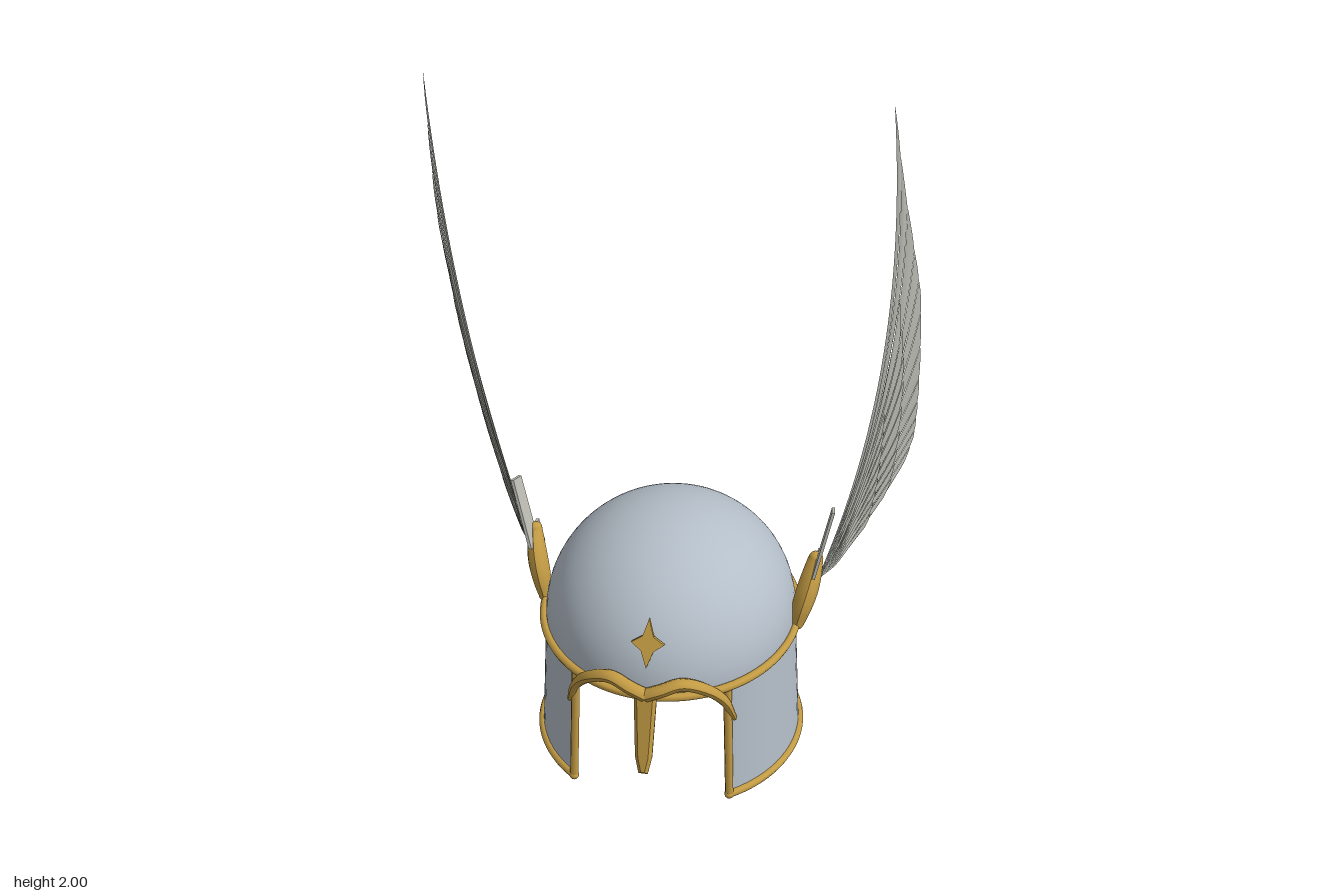
import * as THREE from 'three';
import { mergeGeometries } from 'three/addons/utils/BufferGeometryUtils.js';
import { ParametricGeometry } from 'three/addons/geometries/ParametricGeometry.js';

const mat = (name, color, side = THREE.FrontSide) => {
  const m = new THREE.MeshStandardMaterial({ color, side });
  m.name = name;
  return m;
};
const steel = mat('steel', 0xb4bec8, THREE.DoubleSide);
const gold = mat('gold', 0xc49c44);
const silver = mat('feather silver', 0xc2c2ba, THREE.DoubleSide);

const V = (x, y, z) => new THREE.Vector3(x, y, z);
const lerp = THREE.MathUtils.lerp;

function add(parent, name, geometry, material) {
  const mesh = new THREE.Mesh(geometry, material);
  mesh.name = name;
  parent.add(mesh);
  return mesh;
}

// Point on the skirt wall: a = angle from the front, v = 0 at the brow, 1 at the hem
const OPEN = 0.63;
function wall(a, v, out = 0) {
  const z = (lerp(0.36, 0.378, v) + out) * Math.cos(a) - lerp(0.015, 0.02, v);
  const hem = 0.06 + (z - 0.29) * 0.065;
  return V((lerp(0.33, 0.35, v) + out) * Math.sin(a), lerp(0.42, hem, v), z);
}

// Round bar through points, with a radius rule along its length
function bar(points, radius, segments = 32, closed = false, taper = null) {
  const curve = new THREE.CatmullRomCurve3(points, closed);
  const g = new THREE.TubeGeometry(curve, segments, radius, 8, closed);
  if (taper) {
    const p = g.attributes.position;
    for (let i = 0; i < p.count; i++) {
      const t = Math.floor(i / 9) / segments;
      const c = curve.getPointAt(t);
      const v = V(0, 0, 0).fromBufferAttribute(p, i).sub(c).multiplyScalar(taper(t)).add(c);
      p.setXYZ(i, v.x, v.y, v.z);
    }
    g.computeVertexNormals();
  }
  return g;
}

// Wing sheet: s runs from the leading edge (0) to the lowest feather (1), t from root to tip
const tips = new THREE.CatmullRomCurve3([
  V(0.513, 2.0, 0.19), V(0.54, 1.77, 0.095), V(0.57, 1.54, -0.02), V(0.588, 1.37, -0.117),
  V(0.595, 1.17, -0.207), V(0.596, 0.98, -0.3), V(0.594, 0.87, -0.348), V(0.59, 0.8, -0.358), V(0.572, 0.73, -0.335),
]);
function wingPoint(s, t) {
  const root = V(0.375, 0.51, lerp(-0.055, -0.075, s));
  const bend = V(lerp(0.576, 0.48, s), lerp(1.15, 0.56, s), lerp(-0.115, -0.22, s));
  return new THREE.QuadraticBezierCurve3(root, bend, tips.getPoint(s)).getPoint(t);
}

// One row of feathers, each a ridged strip of the sheet
function featherRow(count, s0, s1, reach, lift) {
  const list = [];
  for (let i = 0; i < count; i++) {
    const a = lerp(s0, s1, i / count), b = lerp(s0, s1, (i + 1) / count);
    list.push(new ParametricGeometry((u, v, target) => {
      const end = reach * (1 - 0.04 * u * u * (reach < 1 ? 1 : 0));
      const p = wingPoint(lerp(a, b, u), v * end);
      p.x += lift * Math.min(1, v * 4) + (0.008 * Math.sin(Math.PI * u) - 0.004 * u) * Math.min(1, v * 3) * (1.15 - v);
      target.copy(p);
    }, 4, 28));
  }
  return mergeGeometries(list);
}

// Thin flat plate facing +z
function plate(points, depth) {
  const shape = new THREE.Shape(points.map(([x, y]) => new THREE.Vector2(x, y)));
  return new THREE.ExtrudeGeometry(shape, { depth, bevelEnabled: false });
}

function makeWing() {
  const wing = new THREE.Group();
  add(wing, 'flightFeathers', featherRow(12, 0, 1, 1, 0), silver);
  add(wing, 'middleCoverts', featherRow(9, 0.12, 0.96, 0.74, 0.007), silver);
  add(wing, 'shortCoverts', featherRow(8, 0.2, 0.96, 0.5, 0.012), silver);

  // Root plates, leaning outward with the wing
  const front = plate([[0.0, 0.57], [0.065, 0.545], [0.07, 0.755], [0.01, 0.78]], 0.008);
  const back = plate([[0.05, 0.5], [0.11, 0.52], [0.11, 0.59], [0.06, 0.6]], 0.008);
  const roots = mergeGeometries([front, back]);
  roots.rotateY(Math.PI / 2);
  const p = roots.attributes.position;
  for (let i = 0; i < p.count; i++) p.setX(i, p.getX(i) + 0.365 + (p.getY(i) - 0.54) * 0.2);
  roots.computeVertexNormals();
  add(wing, 'rootPlates', roots, silver);

  // Gold bracket joining wing and brow band
  const path = [V(0.338, 0.425, 0.0), V(0.35, 0.48, -0.008), V(0.364, 0.54, -0.03), V(0.374, 0.595, -0.06)];
  add(wing, 'wingBracket', bar(path, 0.026, 16, false, (t) => 0.75 + 0.35 * Math.sin(Math.PI * t)), gold);
  for (const [k, r] of [[0, 0.0195], [3, 0.0195]]) {
    add(wing, 'bracketEnd', new THREE.SphereGeometry(r, 10, 8), gold).position.copy(path[k]);
  }
  return wing;
}

export function createModel() {
  const model = new THREE.Group();
  model.name = 'wingedHelmet';

  // Dome
  const dome = new THREE.SphereGeometry(1, 64, 24, 0, Math.PI * 2, 0, Math.PI / 2);
  dome.scale(0.33, 0.31, 0.358);
  dome.translate(0, 0.42, -0.015);
  add(model, 'dome', dome, steel);

  // Skirt, open at the face
  const skirt = new ParametricGeometry((u, v, target) => {
    target.copy(wall(lerp(OPEN, Math.PI * 2 - OPEN, u), 1 - v));
  }, 64, 6);
  add(model, 'skirt', skirt, steel);

  // Brow band
  const ring = [];
  for (let i = 0; i < 48; i++) ring.push(wall((i / 48) * Math.PI * 2, 0, 0.006));
  add(model, 'browBand', bar(ring, 0.011, 96, true), gold);

  // Hem and face opening trim
  const hem = [];
  for (let i = 0; i <= 48; i++) hem.push(wall(lerp(OPEN, Math.PI * 2 - OPEN, i / 48), 1, 0.002));
  add(model, 'hemTrim', bar(hem, 0.011, 96), gold);
  for (const side of [1, -1]) {
    const edge = [0, 0.33, 0.67, 1].map((v) => wall(side * OPEN, v, 0.002));
    add(model, 'faceTrim', bar(edge, 0.011, 12), gold);
    add(model, 'trimCorner', new THREE.SphereGeometry(0.013, 10, 8), gold).position.copy(edge[3]);

    // Arched brow over each eye
    const brow = [
      [0, 0.43, 0.36], [0.04, 0.45, 0.36], [0.09, 0.467, 0.347],
      [0.15, 0.44, 0.325], [0.19, 0.39, 0.3], [0.216, 0.31, 0.272],
    ].map(([x, y, z]) => V(side * x, y, z));
    add(model, 'eyeBrow', bar(brow, 0.016, 32, false, (t) => 1.1 - 0.7 * t ** 3), gold);
  }

  // Nose guard: ridged tapering blade
  const nose = new THREE.ExtrudeGeometry(
    new THREE.Shape([[-0.012, 0], [0.012, 0], [0.022, 0.05], [0.03, 0.25], [-0.03, 0.25], [-0.022, 0.05]]
      .map(([x, y]) => new THREE.Vector2(x, y))),
    { depth: 0.006, bevelThickness: 0.009, bevelSize: 0.009, bevelOffset: -0.009, bevelSegments: 1 });
  nose.rotateX(-0.17);
  nose.translate(0, 0.2, 0.393);
  add(model, 'noseGuard', nose, gold);

  // Four-pointed star on the forehead
  const star = plate([[0, -0.065], [0.016, -0.02], [0.042, 0], [0.014, 0.018],
    [0, 0.065], [-0.014, 0.018], [-0.042, 0], [-0.016, -0.02]], 0.012);
  star.rotateX(-0.4);
  star.translate(0, 0.563, 0.313);
  add(model, 'foreheadStar', star, gold);

  // Wings
  for (const side of [1, -1]) {
    const wing = makeWing();
    wing.name = side > 0 ? 'leftWing' : 'rightWing';
    wing.scale.x = side;
    model.add(wing);
  }
  return model;
}
